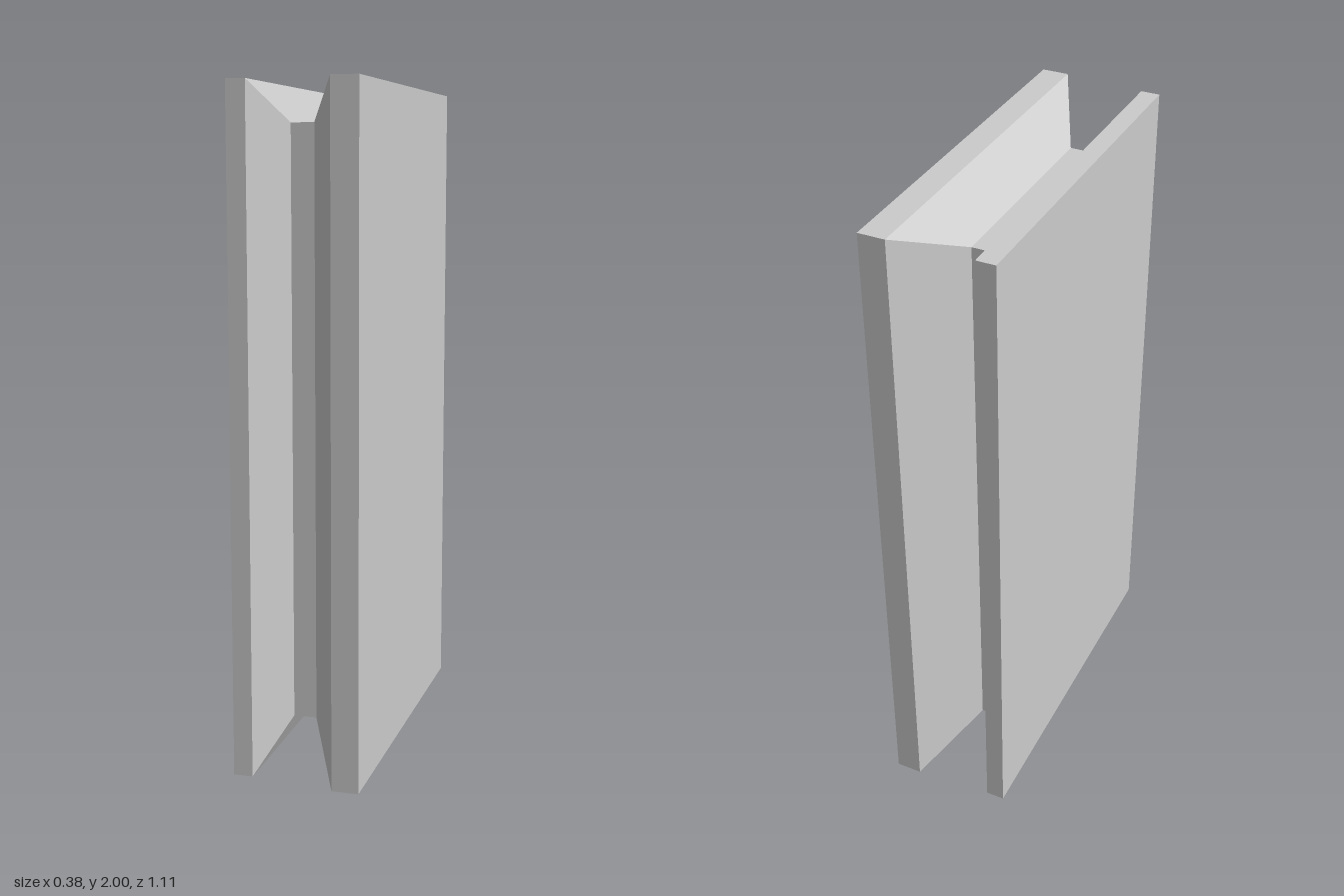
import * as THREE from 'three';

const material = new THREE.MeshStandardMaterial({ color: 0xcccccc, flatShading: true });

// Rectangular rings along x: half height, half depth, centre height, centre depth
const small = { hy: 0.993, hz: 0.544, cy: 1.003, cz: -0.002 };
const neck = { hy: 0.883, hz: 0.32, cy: 1.003, cz: -0.002 };
const large = { hy: 1, hz: 0.556, cy: 1, cz: -0.001 };

// A block between two rings; only the requested end caps are kept
function block(name, x0, ring0, x1, ring1, cap0 = false, cap1 = false) {
  const geometry = new THREE.BoxGeometry(2, 2, 2);
  const pos = geometry.attributes.position;
  for (let i = 0; i < pos.count; i++) {
    const atEnd = pos.getX(i) > 0;
    const r = atEnd ? ring1 : ring0;
    pos.setXYZ(i, atEnd ? x1 : x0, r.cy + pos.getY(i) * r.hy, r.cz + pos.getZ(i) * r.hz);
  }
  // Box faces run +x, -x, then the four sides, six indices each
  const index = Array.from(geometry.index.array);
  geometry.setIndex([
    ...(cap1 ? index.slice(0, 6) : []),
    ...(cap0 ? index.slice(6, 12) : []),
    ...index.slice(12),
  ]);
  geometry.clearGroups();
  geometry.computeVertexNormals();
  const mesh = new THREE.Mesh(geometry, material);
  mesh.name = name;
  return mesh;
}

export function createModel() {
  const model = new THREE.Group();
  model.name = 'groovedPanel';
  model.add(
    block('rightPlate', -0.19, small, -0.133, small, true, false),
    block('rightFlare', -0.133, small, -0.077, neck),
    block('neck', -0.077, neck, -0.007, neck),
    block('leftFlare', -0.007, neck, 0.11, large),
    block('leftPlate', 0.11, large, 0.19, large, false, true),
  );
  return model;
}
